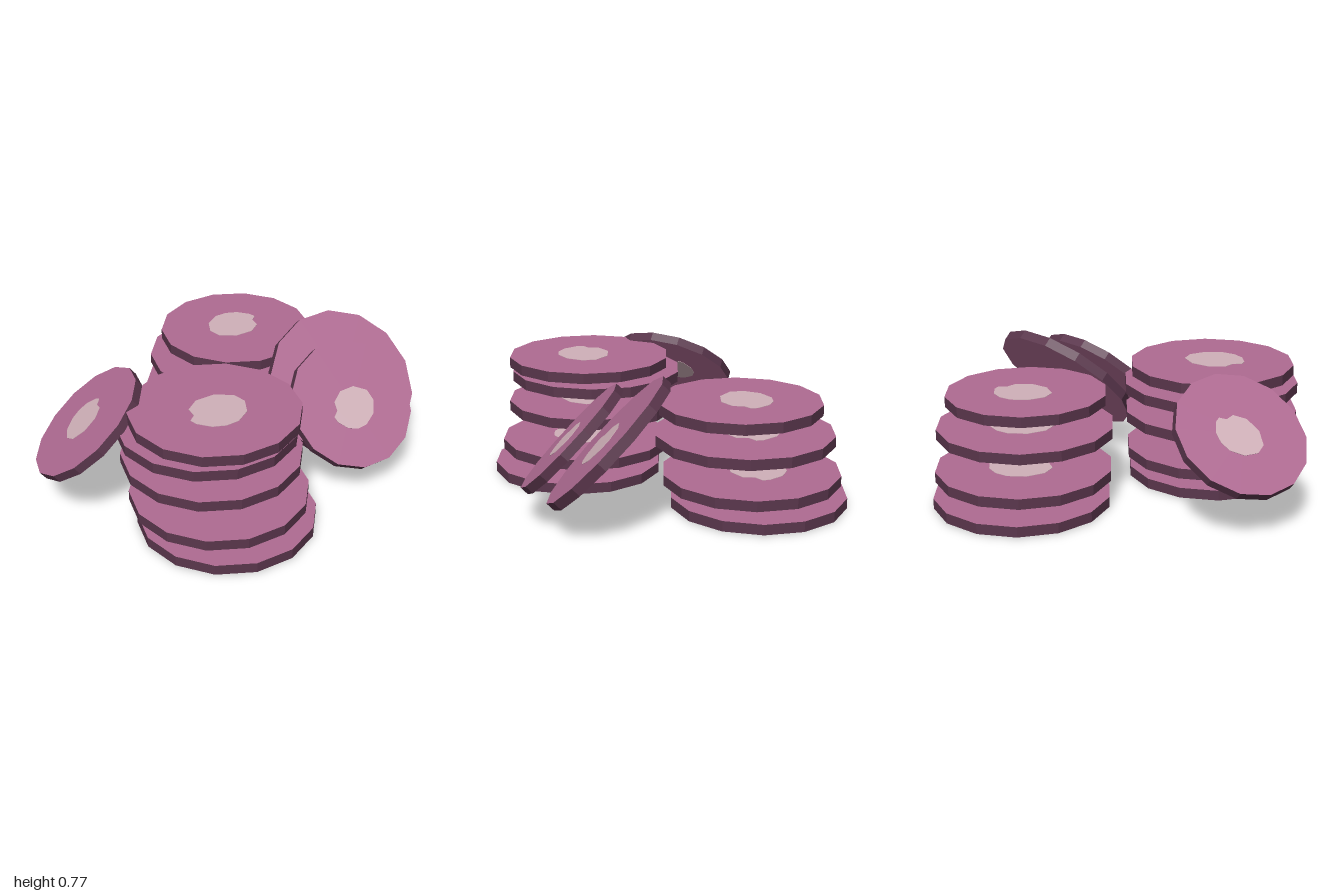
import * as THREE from 'three';

const rimMat = new THREE.MeshStandardMaterial({ color: 0x5a364c });
rimMat.name = 'dark plum rim';
const faceMat = new THREE.MeshStandardMaterial({ color: 0xaf6b92 });
faceMat.name = 'pink face';
const spotMat = new THREE.MeshStandardMaterial({ color: 0xcfb0b8 });
spotMat.name = 'pale centre';

const SIDES = 14;

// Irregular outline of the pale centre, for a slice of radius 1
const SPOT = [
  [-0.02, -0.4], [0.07, -0.38], [0.1, -0.27], [0.22, -0.2], [0.26, 0], [0.16, 0.22],
  [-0.04, 0.34], [-0.21, 0.3], [-0.35, 0.13], [-0.38, -0.09], [-0.32, -0.24], [-0.2, -0.35],
].map(([x, y]) => new THREE.Vector2(x, y));

// One slice: faceted disc with a pale centre showing on both faces
function makeSlice(name, radius, thickness, turn = 0) {
  const slice = new THREE.Group();
  slice.name = name;

  const discGeo = new THREE.CylinderGeometry(radius, radius, thickness, SIDES).toNonIndexed();
  discGeo.computeVertexNormals();
  const disc = new THREE.Mesh(discGeo, [rimMat, faceMat, faceMat]);
  disc.name = 'disc';

  const outline = new THREE.Shape(SPOT.map((p) => p.clone().multiplyScalar(radius)));
  const depth = thickness + 0.004;
  const spotGeo = new THREE.ExtrudeGeometry(outline, { depth, bevelEnabled: false });
  spotGeo.rotateX(Math.PI / 2).translate(0, depth / 2, 0).rotateY(turn);
  const spot = new THREE.Mesh(spotGeo, spotMat);
  spot.name = 'paleCentre';

  slice.add(disc, spot);
  return slice;
}

// Stack of level slices; each layer is [x, bottom y, radius]
function makeStack(name, z, turn, layers) {
  const stack = new THREE.Group();
  stack.name = name;
  const t = 0.057;
  layers.forEach(([x, y, r], i) => {
    const slice = makeSlice(`slice${i + 1}`, r, t, turn);
    slice.position.set(x, y + t / 2, z);
    stack.add(slice);
  });
  return stack;
}

// Slice leaning against a stack, its upper face pointing along the normal
function makeLeaning(name, radius, thickness, position, normal, turn) {
  const slice = makeSlice(name, radius, thickness, turn);
  slice.position.set(...position);
  slice.quaternion.setFromUnitVectors(
    new THREE.Vector3(0, 1, 0),
    new THREE.Vector3(...normal).normalize()
  );
  return slice;
}

export function createModel() {
  const model = new THREE.Group();
  model.name = 'slicePile';

  model.add(
    makeStack('frontStack', 0.42, Math.PI, [
      [0.26, 0, 0.482], [0.21, 0.133, 0.482], [0.165, 0.358, 0.482],
      [0.14, 0.53, 0.482], [0.185, 0.615, 0.455],
    ]),
    makeStack('backStack', -0.518, 0, [
      [-0.41, 0, 0.482], [-0.365, 0.133, 0.482], [-0.32, 0.358, 0.482],
      [-0.29, 0.53, 0.437],
    ]),
    makeLeaning('leaningSliceRight', 0.365, 0.05, [-0.465, 0.48, 0.66], [-0.49, 0.765, 0.42], 0),
    makeLeaning('leaningSliceLeftInner', 0.437, 0.055, [0.445, 0.437, -0.482], [0.63, 0.68, 0.37], Math.PI),
    makeLeaning('leaningSliceLeftOuter', 0.362, 0.05, [0.585, 0.435, -0.33], [0.63, 0.68, 0.37], Math.PI)
  );
  return model;
}
